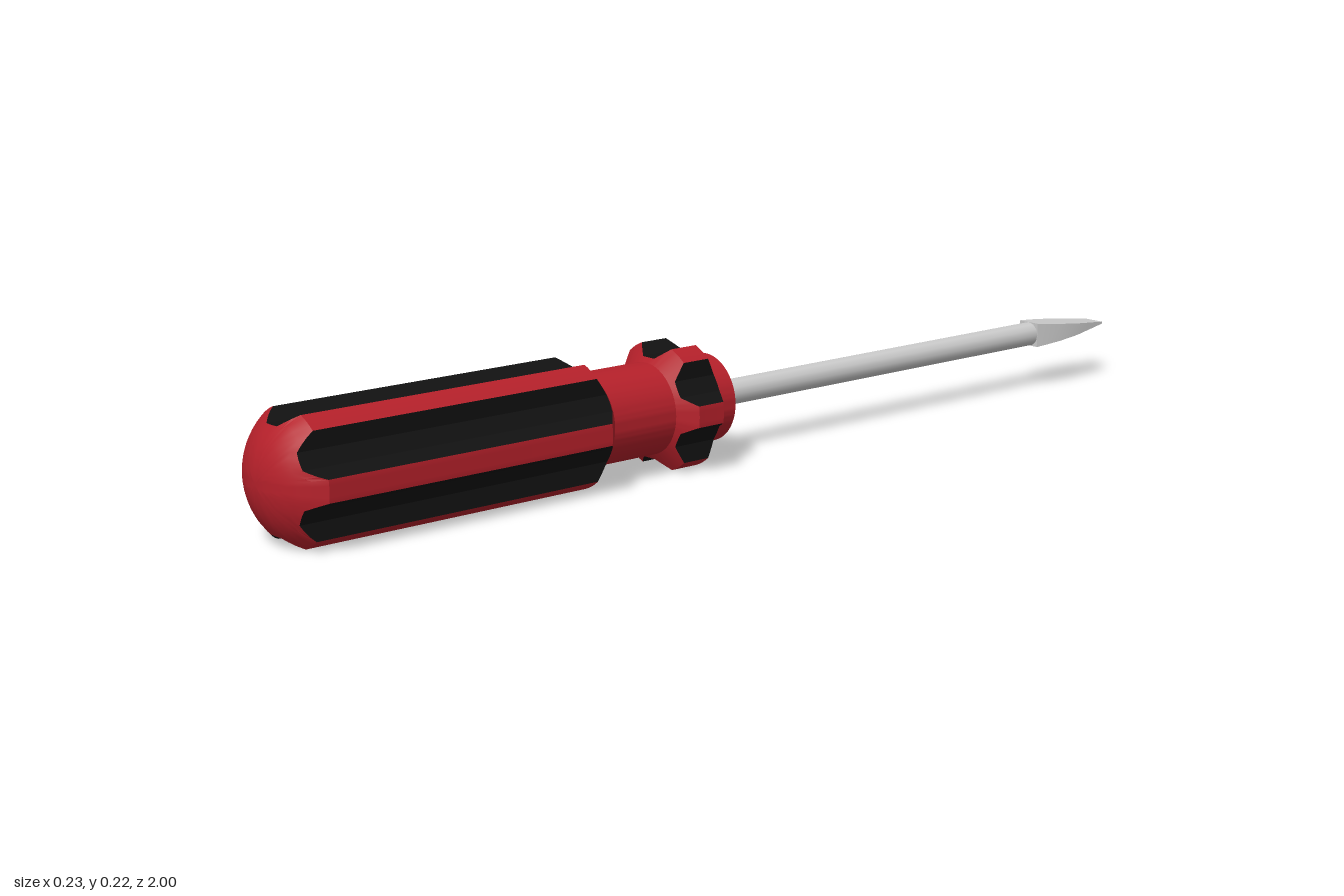
import * as THREE from 'three';
import { toCreasedNormals } from 'three/addons/utils/BufferGeometryUtils.js';

const AXIS_Y = 0.1095;
const R_MAX = 0.117, R_FLOOR = 0.0925, R_NECK = 0.083;
const lerp = THREE.MathUtils.lerp;

// Fluted cross-section: six lobes with flat-bottomed grooves between them
function crossSection() {
  const cols = [];
  const at = (r, deg) => new THREE.Vector2(r, 0).rotateAround(new THREE.Vector2(), THREE.MathUtils.degToRad(deg));
  const line = (a, b, n, groove) => {
    for (let i = 0; i < n; i++) {
      const p = a.clone().lerp(b, i / n);
      cols.push({ R: p.length(), angle: p.angle(), groove });
    }
  };
  for (let k = 0; k < 6; k++) {
    const c = k * 60;
    for (let i = 0; i < 4; i++) line(at(R_MAX, c - 9.5 + i * 4.75), at(R_MAX, c - 4.75 + i * 4.75), 1, false);
    line(at(R_MAX, c + 9.5), at(R_FLOOR, c + 20.5), 3, true);
    line(at(R_FLOOR, c + 20.5), at(R_FLOOR, c + 39.5), 3, true);
    line(at(R_FLOOR, c + 39.5), at(R_MAX, c + 50.5), 3, true);
  }
  return cols;
}

// Turned profile, cut back to radius R where a groove passes; inlay marks groove walls
function profile(R) {
  const t = (R - R_NECK) / (R_MAX - R_NECK);
  const dome = r => 1 - 0.14 + Math.sqrt(0.14 * 0.14 - r * r);
  const rows = [
    { r: 0, z: 0.062 }, { r: 0.08, z: 0.062 }, { r: 0.08, z: 0.1 }, { r: R_NECK, z: 0.1 },
    { r: R, z: lerp(0.1, 0.122, t), inlay: true }, { r: R, z: lerp(0.203, 0.178, t) },
    { r: R_NECK, z: 0.203 }, { r: R_NECK, z: 0.34 },
    { r: R, z: lerp(0.34, 0.372, t), inlay: true }, { r: R, z: dome(R) },
  ];
  for (let i = 1; i <= 7; i++) rows.push({ r: R * (1 - i / 7), z: dome(R * (1 - i / 7)) });
  return rows;
}

function handleGeometries() {
  const body = [], inlay = [];
  const cols = crossSection().map(c => ({
    ...c,
    rows: profile(c.R).map(p => ({
      inlay: p.inlay,
      v: new THREE.Vector3(p.r * Math.cos(c.angle), p.r * Math.sin(c.angle), p.z),
    })),
  }));
  const tri = (out, a, b, c) => {
    const area = b.clone().sub(a).cross(c.clone().sub(a)).length();
    if (area > 1e-10) for (const p of [a, b, c]) out.push(p.x, p.y, p.z);
  };
  cols.forEach((col, i) => {
    const next = cols[(i + 1) % cols.length];
    for (let j = 0; j < col.rows.length - 1; j++) {
      const out = col.groove && col.rows[j].inlay ? inlay : body;
      const a = col.rows[j].v, b = next.rows[j].v, c = next.rows[j + 1].v, d = col.rows[j + 1].v;
      tri(out, a, b, c);
      tri(out, a, c, d);
    }
  });
  return [body, inlay].map(list => {
    const g = new THREE.BufferGeometry();
    g.setAttribute('position', new THREE.Float32BufferAttribute(list, 3));
    return toCreasedNormals(g, 0.5);
  });
}

// Flat tip: a box whose width and thickness follow the length
function bladeGeometry() {
  const stations = [[-0.8, 0.024], [-0.82, 0.028], [-0.86, 0.034], [-0.91, 0.035], [-0.955, 0.029], [-1, 0.023]];
  const n = stations.length - 1;
  const g = new THREE.BoxGeometry(2, 2, n, 1, 1, n);
  const pos = g.attributes.position;
  for (let i = 0; i < pos.count; i++) {
    const [z, width] = stations[Math.round(n / 2 - pos.getZ(i))];
    const thick = lerp(0.024, 0.002, (-0.8 - z) / 0.2);
    pos.setXYZ(i, pos.getX(i) * width, pos.getY(i) * thick, z);
  }
  return toCreasedNormals(g, 0.4);
}

export function createModel() {
  const group = new THREE.Group();
  group.name = 'screwdriver';
  const add = (name, geometry, color) => {
    const mesh = new THREE.Mesh(geometry, new THREE.MeshStandardMaterial({ color }));
    mesh.name = name;
    mesh.position.y = AXIS_Y;
    group.add(mesh);
  };

  // Handle and its dark groove inlays
  const [body, inlay] = handleGeometries();
  add('handle', body, 0xb5202a);
  add('gripInlays', inlay, 0x111111);

  // Metal shaft and flat blade
  const shaft = new THREE.CylinderGeometry(0.024, 0.024, 0.88, 12);
  shaft.rotateX(Math.PI / 2).translate(0, 0, 0.08 - 0.44);
  add('shaft', shaft, 0xcccccc);
  add('blade', bladeGeometry(), 0xcccccc);
  return group;
}
